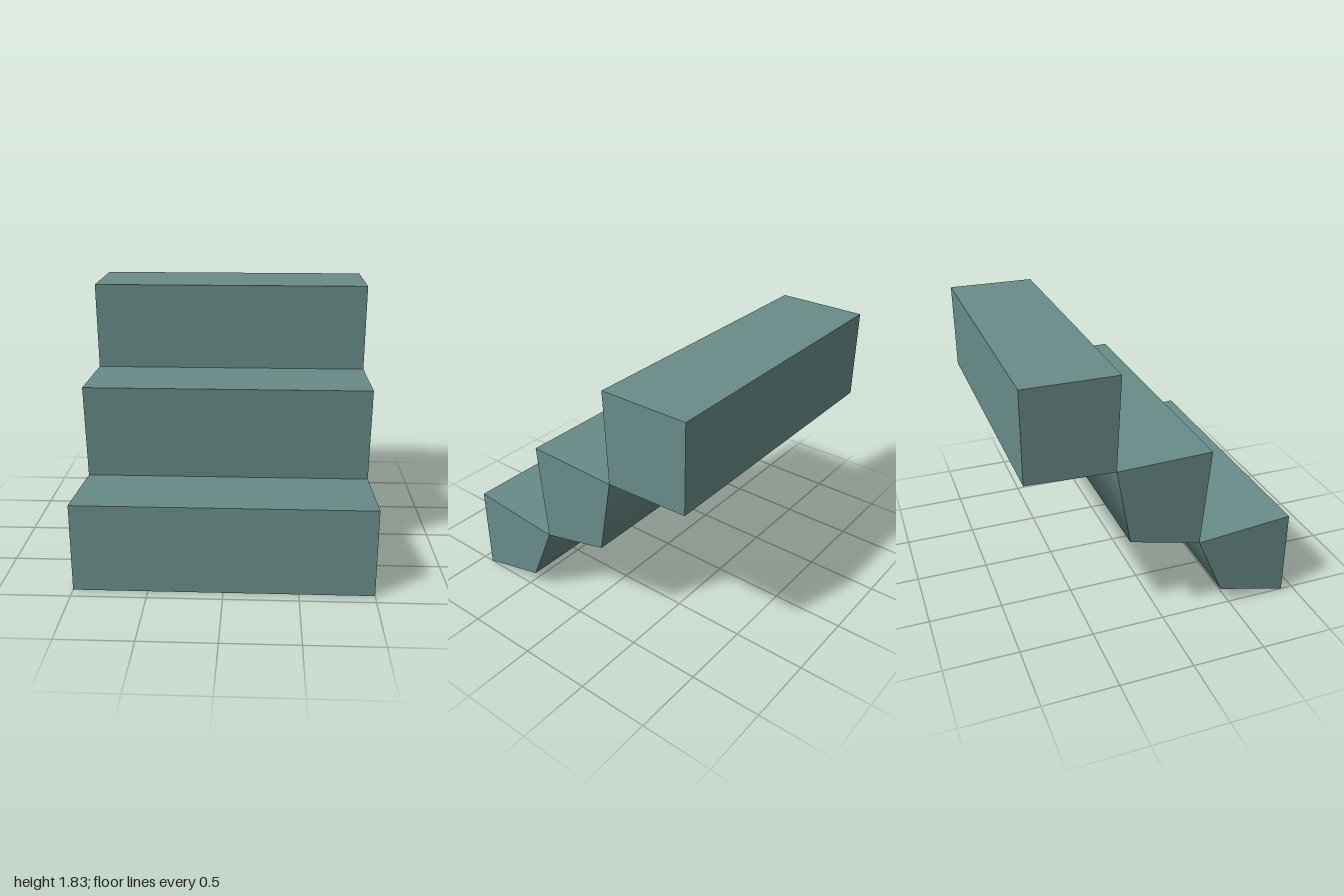
import * as THREE from 'three';

const WIDTH = 2;

// Side profiles as [z, y]; "soft" is the underside corner with smooth shading
const STEPS = [
  { name: 'lowerStep', profile: [[0.917, 0], [0.917, 0.611], [0.247, 0.55], [0.43, 0.125]], soft: [0.43, 0.125] },
  { name: 'middleStep', profile: [[0.247, 0.55], [0.306, 1.222], [-0.336, 1.202], [-0.243, 0.673]], soft: [-0.243, 0.673] },
  { name: 'upperStep', profile: [[-0.336, 1.202], [-0.306, 1.833], [-0.917, 1.833], [-0.917, 1.222]] },
];

// Extrude a side profile across the full width of the stair
function stepGeometry(profile, soft) {
  const shape = new THREE.Shape(profile.map(([z, y]) => new THREE.Vector2(z, y)));
  const geometry = new THREE.ExtrudeGeometry(shape, { depth: WIDTH, bevelEnabled: false });
  geometry.translate(0, 0, -WIDTH / 2).rotateY(-Math.PI / 2);
  if (soft) smoothCorner(geometry, soft);
  return geometry;
}

// Share one averaged normal along an underside edge, leaving the end caps flat
function smoothCorner(geometry, [z, y]) {
  const { position, normal } = geometry.attributes;
  const ids = [];
  const kinds = new Map();
  for (let i = 0; i < position.count; i++) {
    const onEdge = Math.hypot(position.getZ(i) - z, position.getY(i) - y) < 1e-4;
    if (!onEdge || Math.abs(normal.getX(i)) > 0.5) continue;
    const n = new THREE.Vector3().fromBufferAttribute(normal, i);
    ids.push(i);
    kinds.set(`${n.y.toFixed(3)},${n.z.toFixed(3)}`, n);
  }
  const mean = new THREE.Vector3();
  kinds.forEach((n) => mean.add(n));
  mean.normalize();
  ids.forEach((i) => normal.setXYZ(i, mean.x, mean.y, mean.z));
}

export function createModel() {
  const group = new THREE.Group();
  group.name = 'stairs';
  const material = new THREE.MeshStandardMaterial({ color: 0x688c88 });
  material.name = 'grey teal';

  for (const { name, profile, soft } of STEPS) {
    const step = new THREE.Mesh(stepGeometry(profile, soft), material);
    step.name = name;
    group.add(step);
  }
  return group;
}
